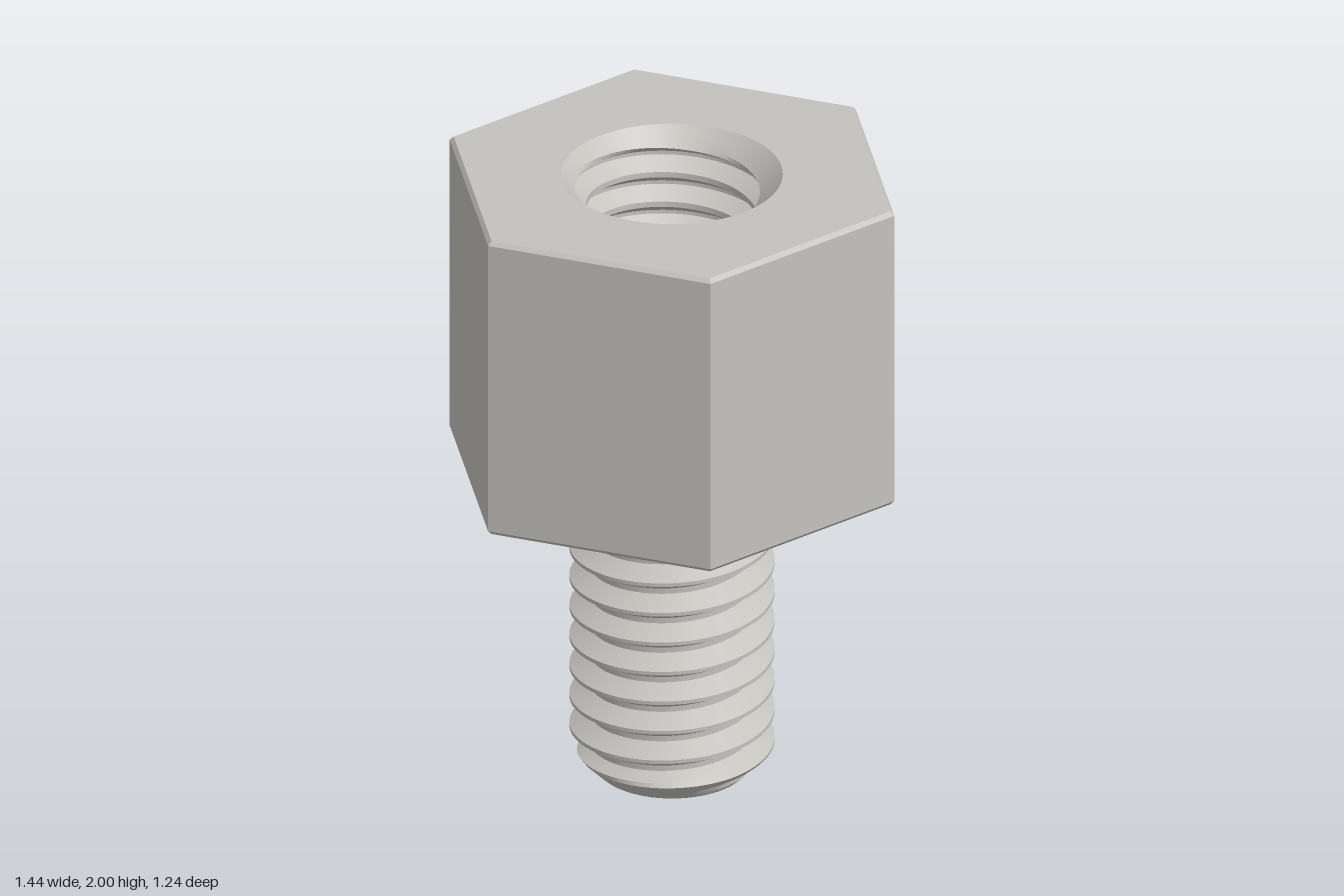
import * as THREE from 'three';
import { toCreasedNormals } from 'three/addons/utils/BufferGeometryUtils.js';

const PITCH = 0.1;
const SEGMENTS = 72;
// Row positions within one turn: crest edges, flanks, root edges
const STEPS = [-0.06, 0.06, 0.18, 0.3, 0.41, 0.59, 0.7, 0.82];

// Helical thread surface between y0 and y1; limit() trims the radius for chamfers
function threadGeometry({ root, crest, y0, y1, limit, inside = false }) {
  const rows = [];
  for (let k = Math.floor(y0 / PITCH) - 2; k <= Math.ceil(y1 / PITCH) + 1; k++) {
    for (const s of STEPS) rows.push(k + s);
  }
  const point = (i, row) => {
    const turn = i / SEGMENTS;
    const angle = (i % SEGMENTS) / SEGMENTS * Math.PI * 2;
    const y = THREE.MathUtils.clamp((row + turn) * PITCH, y0, y1);
    const f = THREE.MathUtils.euclideanModulo(y / PITCH - turn, 1);
    const drop = THREE.MathUtils.clamp((Math.min(f, 1 - f) - 0.06) / 0.35, 0, 1);
    const r = limit(THREE.MathUtils.lerp(crest, root, drop), y);
    return [r * Math.cos(angle), y, -r * Math.sin(angle)];
  };
  const positions = [];
  for (let j = 0; j < rows.length - 1; j++) {
    for (let i = 0; i < SEGMENTS; i++) {
      const a = point(i, rows[j]);
      const b = point(i + 1, rows[j]);
      const c = point(i + 1, rows[j + 1]);
      const d = point(i, rows[j + 1]);
      const addTriangle = (p, q, s) => {
        const flat = (m, n) => Math.abs(m[1] - n[1]) < 1e-6;
        if (flat(p, q) && flat(q, s)) return; // trimmed away at an end
        positions.push(...p, ...(inside ? [...s, ...q] : [...q, ...s]));
      };
      addTriangle(a, b, c);
      addTriangle(a, c, d);
    }
  }
  const geometry = new THREE.BufferGeometry();
  geometry.setAttribute('position', new THREE.Float32BufferAttribute(positions, 3));
  return toCreasedNormals(geometry, 0.5);
}

export function createModel() {
  const group = new THREE.Group();
  const metal = new THREE.MeshStandardMaterial({ color: 0xc4c2bd });
  metal.name = 'warm grey metal';

  const add = (name, geometry) => {
    const mesh = new THREE.Mesh(geometry, metal);
    mesh.name = name;
    group.add(mesh);
    return mesh;
  };

  // Hexagonal body with small chamfers, open at the top
  const R = 0.718, E = 0.013, BOTTOM = 1.007, TOP = 2;
  const profile = [
    [0, BOTTOM], [R - E, BOTTOM], [R, BOTTOM + E], [R, TOP - E], [R - E, TOP],
  ].map(([x, y]) => new THREE.Vector2(x, y));
  const body = new THREE.LatheGeometry(profile, 6);
  body.rotateY(Math.PI / 6);
  add('hexBody', toCreasedNormals(body, 0.1));

  // Top face around the hole
  const face = new THREE.Shape();
  for (let i = 0; i < 6; i++) {
    const a = i * Math.PI / 3;
    face[i ? 'lineTo' : 'moveTo']((R - E) * Math.cos(a), (R - E) * Math.sin(a));
  }
  face.closePath();
  face.holes.push(new THREE.Path().absarc(0, 0, 0.335, 0, Math.PI * 2, true));
  const topFace = new THREE.ShapeGeometry(face, SEGMENTS / 2);
  topFace.rotateX(-Math.PI / 2);
  add('topFace', topFace).position.y = TOP;

  // Threaded blind hole with a countersunk mouth
  const FLOOR = 1.2;
  add('threadedHole', threadGeometry({
    root: 0.26, crest: 0.31, y0: FLOOR, y1: TOP, inside: true,
    limit: (r, y) => Math.max(r, 0.335 - (TOP - y)),
  }));
  const floor = new THREE.CircleGeometry(0.315, SEGMENTS);
  floor.rotateX(-Math.PI / 2);
  add('holeFloor', floor).position.y = FLOOR;

  // Threaded stud with a chamfered tip
  add('threadedStud', threadGeometry({
    root: 0.25, crest: 0.31, y0: 0, y1: BOTTOM + 0.01,
    limit: (r, y) => Math.min(r, 0.23 + y),
  }));
  const tip = new THREE.CircleGeometry(0.23, SEGMENTS);
  tip.rotateX(Math.PI / 2);
  add('studTip', tip);

  return group;
}
